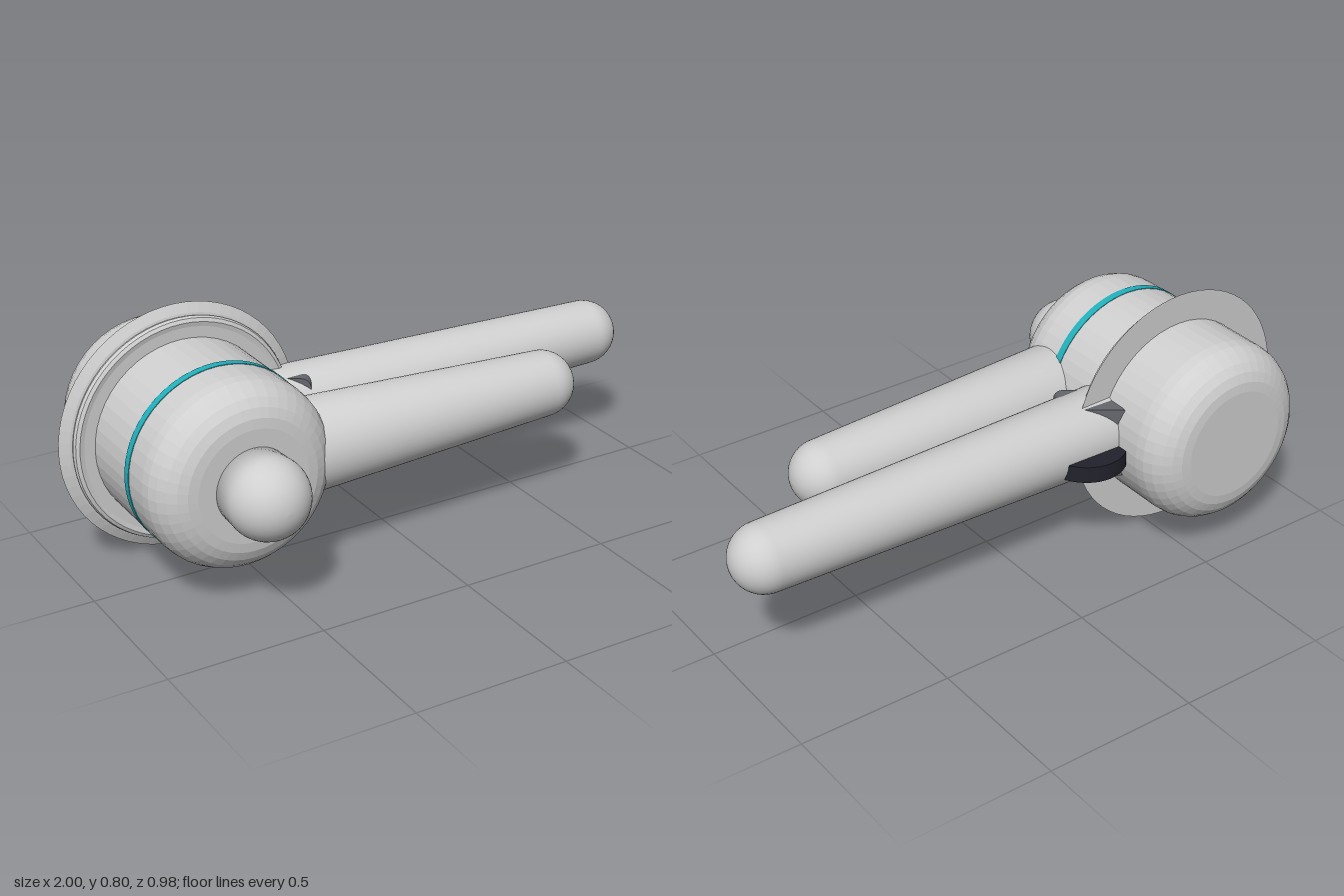
import * as THREE from 'three';

const V = (x, y) => new THREE.Vector2(x, y);

// Quarter-circle profile points, from angle a to b (degrees)
function arc(cx, cy, r, a, b, n) {
  const pts = [];
  for (let i = 0; i <= n; i++) {
    const t = THREE.MathUtils.degToRad(a + (b - a) * i / n);
    pts.push(V(cx + r * Math.cos(t), cy + r * Math.sin(t)));
  }
  return pts;
}

// Faceted version of a geometry
function faceted(geometry) {
  const g = geometry.toNonIndexed();
  g.computeVertexNormals();
  return g;
}

// Tapered rod with a hemispherical end, along +y
function roundedRod(start, r0, tip, r1) {
  const c = tip - r1;
  return new THREE.LatheGeometry([V(0, start), V(r0, start), ...arc(0, c, r1, 0, 90, 12)], 48);
}

export function createModel() {
  const shell = new THREE.MeshStandardMaterial({ color: 0xcfcfcf });
  shell.name = 'light grey shell';
  const teal = new THREE.MeshStandardMaterial({ color: 0x22b0bc });
  teal.name = 'teal';
  const darkGrey = new THREE.MeshStandardMaterial({ color: 0x66676d });
  darkGrey.name = 'dark grey';
  const black = new THREE.MeshStandardMaterial({ color: 0x22222c });
  black.name = 'blue black';

  const model = new THREE.Group();
  function add(name, geometry, material, x, y, z) {
    const mesh = new THREE.Mesh(geometry, material);
    mesh.name = name;
    mesh.position.set(x, y, z);
    model.add(mesh);
    return mesh;
  }
  const CX = -0.6, CY = 0.4;
  const alongZ = (g) => g.rotateX(Math.PI / 2);
  const alongX = (g) => g.rotateZ(-Math.PI / 2);

  // Drum body with rounded ends
  const body = [
    V(0, -0.488), ...arc(0.18, -0.368, 0.12, -90, 0, 6),
    ...arc(0.18, 0.165, 0.12, 0, 90, 6), V(0, 0.285),
  ];
  add('body', alongZ(faceted(new THREE.LatheGeometry(body, 48))), shell, CX, CY, 0);

  // Nose knob on the front
  add('nose', alongZ(roundedRod(0.24, 0.121, 0.49, 0.128)), shell, CX, CY, 0);

  // Thin painted band
  const band = new THREE.LatheGeometry(
    [V(0.297, 0.052), V(0.302, 0.052), V(0.302, 0.078), V(0.297, 0.078)], 64);
  add('band', alongZ(faceted(band)), teal, CX, CY, 0);

  // Flared flange around the body
  const flange = [
    V(0.28, -0.2), V(0.4, -0.2), V(0.37, -0.184), V(0.362, -0.182), V(0.365, -0.172),
    V(0.361, -0.161), V(0.35, -0.155), V(0.335, -0.158), V(0.28, -0.158),
  ];
  add('flange', alongZ(faceted(new THREE.LatheGeometry(flange, 64))), shell, CX, CY, 0);

  // Two tapered arms reaching sideways
  add('frontArm', alongX(roundedRod(-0.42, 0.15, 0.63, 0.108)), shell, 0, CY, 0.12);
  add('rearArm', alongX(roundedRod(-0.38, 0.134, 1.0, 0.108)), shell, 0, CY, -0.155);

  // Angled bracket plate at the root of the rear arm
  const h = 0.12, r = 0.03, k = h - r;
  const plate = new THREE.Shape([
    ...arc(k, k, r, 0, 90, 5), ...arc(-k, k, r, 90, 180, 5),
    ...arc(-k, -k, r, 180, 270, 5), ...arc(k, -k, r, 270, 360, 5),
  ]);
  const bracket = new THREE.ExtrudeGeometry(plate, { depth: 0.12, bevelEnabled: false });
  bracket.translate(0, 0, -0.06);
  add('bracket', bracket, darkGrey, -0.28, CY, -0.175).rotation.y = -0.63;

  // Flat wheel behind the bracket
  add('wheel', new THREE.CylinderGeometry(0.13, 0.13, 0.055, 40), black, -0.22, 0.372, -0.22);

  return model;
}
